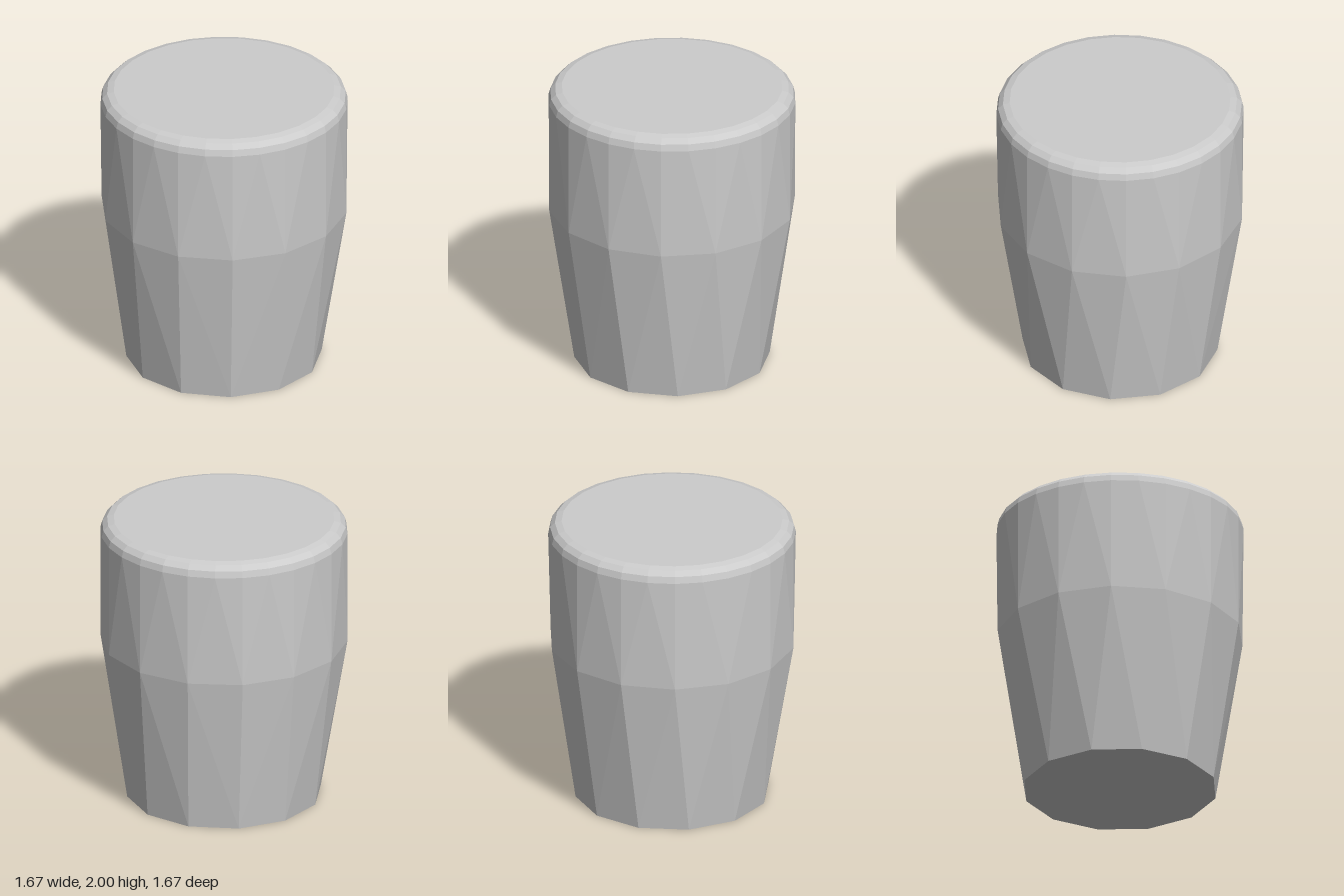
import * as THREE from 'three';
import { ConvexGeometry } from 'three/addons/geometries/ConvexGeometry.js';

// Regular ring of points at height y, with the first point facing +z
function ring(count, radius, y) {
  return Array.from({ length: count }, (_, i) => {
    const a = (i / count) * Math.PI * 2;
    return new THREE.Vector3(Math.sin(a) * radius, y, Math.cos(a) * radius);
  });
}

export function createModel() {
  const group = new THREE.Group();
  group.name = 'taperedBlock';

  const radius = 0.835, bevel = 0.09, bevelSteps = 3;

  // Tapered foot (12 sides) and waist (14 sides)
  const points = [...ring(12, 0.66, 0), ...ring(14, radius, 1.125)];

  // Rounded top rim (28 sides)
  for (let i = 0; i <= bevelSteps; i++) {
    const a = (i / bevelSteps) * Math.PI / 2;
    points.push(...ring(28, radius - bevel + Math.cos(a) * bevel, 2 - bevel + Math.sin(a) * bevel));
  }

  // The faceted skin is the convex hull of the rings
  const body = new THREE.Mesh(
    new ConvexGeometry(points),
    new THREE.MeshStandardMaterial({ color: 0xcccccc, flatShading: true })
  );
  body.name = 'facetedBody';
  group.add(body);
  return group;
}
